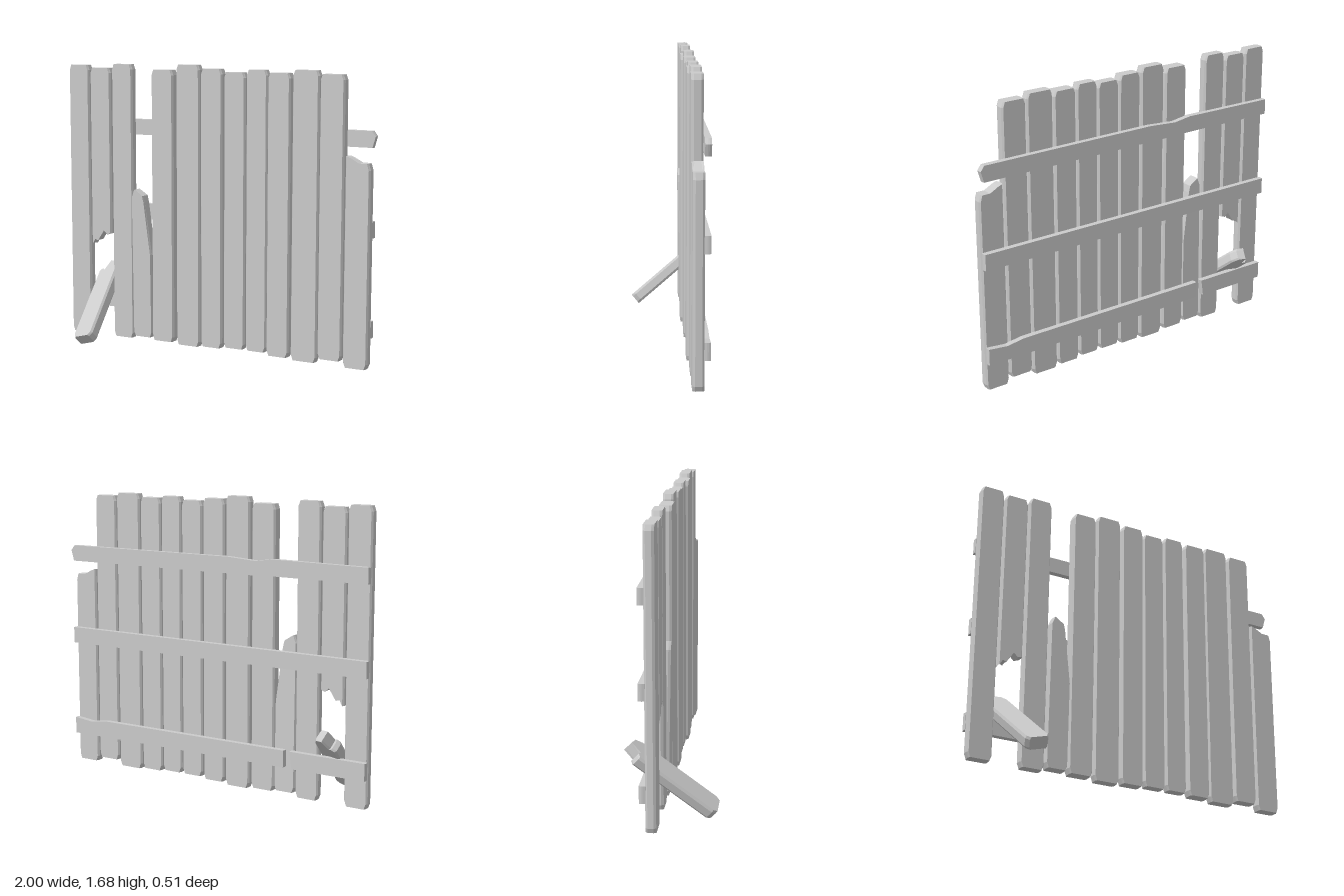
import * as THREE from 'three';

const material = new THREE.MeshStandardMaterial({ color: 0xcccccc, flatShading: true });

// Extrudes an outline from z = back to z = front, chamfering the long edges in x only.
function boardGeometry(points, back, front, bevel) {
  const shape = new THREE.Shape(points.map(([x, y]) => new THREE.Vector2(x, y)));
  const geo = new THREE.ExtrudeGeometry(shape, { depth: 3, steps: 3, bevelEnabled: false });
  const xs = points.map((p) => p[0]);
  const left = Math.min(...xs), right = Math.max(...xs);
  const mid = (left + right) / 2;
  const shrink = 1 - (2 * bevel) / (right - left);
  const levels = [back, back + 0.012, front - 0.014, front];
  const pos = geo.attributes.position;
  for (let i = 0; i < pos.count; i++) {
    const k = Math.round(pos.getZ(i));
    if (k === 0 || k === 3) pos.setX(i, mid + (pos.getX(i) - mid) * shrink);
    pos.setZ(i, levels[k]);
  }
  geo.computeVertexNormals();
  return geo;
}

// Upright outline with clipped corners; a broken edge replaces the top or the bottom.
function plankOutline({ x0, x1, y0, y1, brokenTop, brokenBottom }) {
  const c = 0.012, h = 0.03;
  const bottom = brokenBottom || [[x0, y0 + h], [x0 + c, y0], [x1 - c, y0], [x1, y0 + h]];
  const top = brokenTop || [[x1, y1 - h], [x1 - c, y1], [x0 + c, y1], [x0, y1 - h]];
  return [...bottom, ...top];
}

export function createModel() {
  const fence = new THREE.Group();
  fence.name = 'brokenFence';
  const add = (name, geo) => {
    const mesh = new THREE.Mesh(geo, material);
    mesh.name = name;
    fence.add(mesh);
    return mesh;
  };

  // Upright planks: left, right, bottom, top, front depth
  const planks = [
    [-0.997, -0.853, 0.01, 1.675, -0.067],
    [-0.69, -0.546, 0.01, 1.685, -0.068],
    [-0.405, -0.256, 0.02, 1.657, -0.055],
    [-0.242, -0.083, 0.01, 1.69, -0.066],
    [-0.073, 0.069, 0.02, 1.67, -0.06],
    [0.077, 0.216, 0.03, 1.653, -0.067],
    [0.222, 0.357, 0.03, 1.67, -0.067],
    [0.364, 0.506, 0.02, 1.656, -0.055],
    [0.514, 0.678, 0.01, 1.675, -0.066],
    [0.685, 0.833, 0.04, 1.656, -0.06],
  ];
  planks.forEach(([x0, x1, y0, y1, front], i) =>
    add(`plank${i + 1}`, boardGeometry(plankOutline({ x0, x1, y0, y1 }), -0.125, front, 0.008)));

  // Plank snapped off at the bottom
  add('hangingPlank', boardGeometry(plankOutline({
    x0: -0.845, x1: -0.7, y1: 1.66,
    brokenBottom: [[-0.845, 0.575], [-0.825, 0.607], [-0.8, 0.6], [-0.752, 0.665], [-0.725, 0.642], [-0.7, 0.65]],
  }), -0.125, -0.067, 0.008));

  // Splintered plank leaning slightly forward
  const splinter = boardGeometry(plankOutline({
    x0: -0.541, x1: -0.408, y0: 0.03,
    brokenTop: [[-0.408, 0.545], [-0.452, 0.86], [-0.462, 0.9], [-0.522, 0.935], [-0.541, 0.89]],
  }), -0.125, -0.06, 0.006);
  const sp = splinter.attributes.position;
  for (let i = 0; i < sp.count; i++) sp.setZ(i, sp.getZ(i) + 0.018 * sp.getY(i));
  splinter.computeVertexNormals();
  add('splinteredPlank', splinter);

  // Short end plank
  add('shortPlank', boardGeometry(plankOutline({
    x0: 0.841, x1: 0.99, y0: 0.01,
    brokenTop: [[0.99, 1.135], [0.978, 1.172], [0.925, 1.172], [0.865, 1.2], [0.841, 1.208]],
  }), -0.125, -0.062, 0.008));

  // Back rails with small chips and worn ends
  const rails = {
    topRail: [[-0.998, 1.262], [-0.4, 1.262], [-0.28, 1.258], [0.98, 1.255], [0.998, 1.318], [0.975, 1.348],
      [-0.12, 1.352], [-0.3, 1.34], [-0.41, 1.356], [-0.998, 1.352]],
    middleRail: [[-0.998, 0.75], [0.99, 0.75], [0.99, 0.845], [-0.998, 0.845]],
    bottomRail: [[-0.49, 0.182], [0.99, 0.18], [0.99, 0.278], [0.87, 0.265], [0.76, 0.28], [-0.49, 0.28]],
    bottomRailStub: [[-0.998, 0.18], [-0.54, 0.18], [-0.525, 0.28], [-0.998, 0.28]],
  };
  for (const [name, pts] of Object.entries(rails)) add(name, boardGeometry(pts, -0.158, -0.123, 0.003));

  // Fallen plank piece resting through the gap
  const fallen = add('fallenPlank', boardGeometry([
    [-0.068, 0.025], [-0.052, 0], [0.052, 0], [0.068, 0.025],
    [0.068, 0.54], [0.05, 0.585], [0.005, 0.602], [-0.028, 0.53], [-0.045, 0.545], [-0.068, 0.53],
  ], -0.035, 0.035, 0.008));
  const along = new THREE.Vector3(-0.136, 0.63, -0.77).normalize();
  const out = new THREE.Vector3(0.966, 0.26, 0.04).cross(along).normalize();
  const across = along.clone().cross(out);
  fallen.applyMatrix4(new THREE.Matrix4().makeBasis(across, along, out).setPosition(-0.717, 0.044, 0.217));

  return fence;
}
